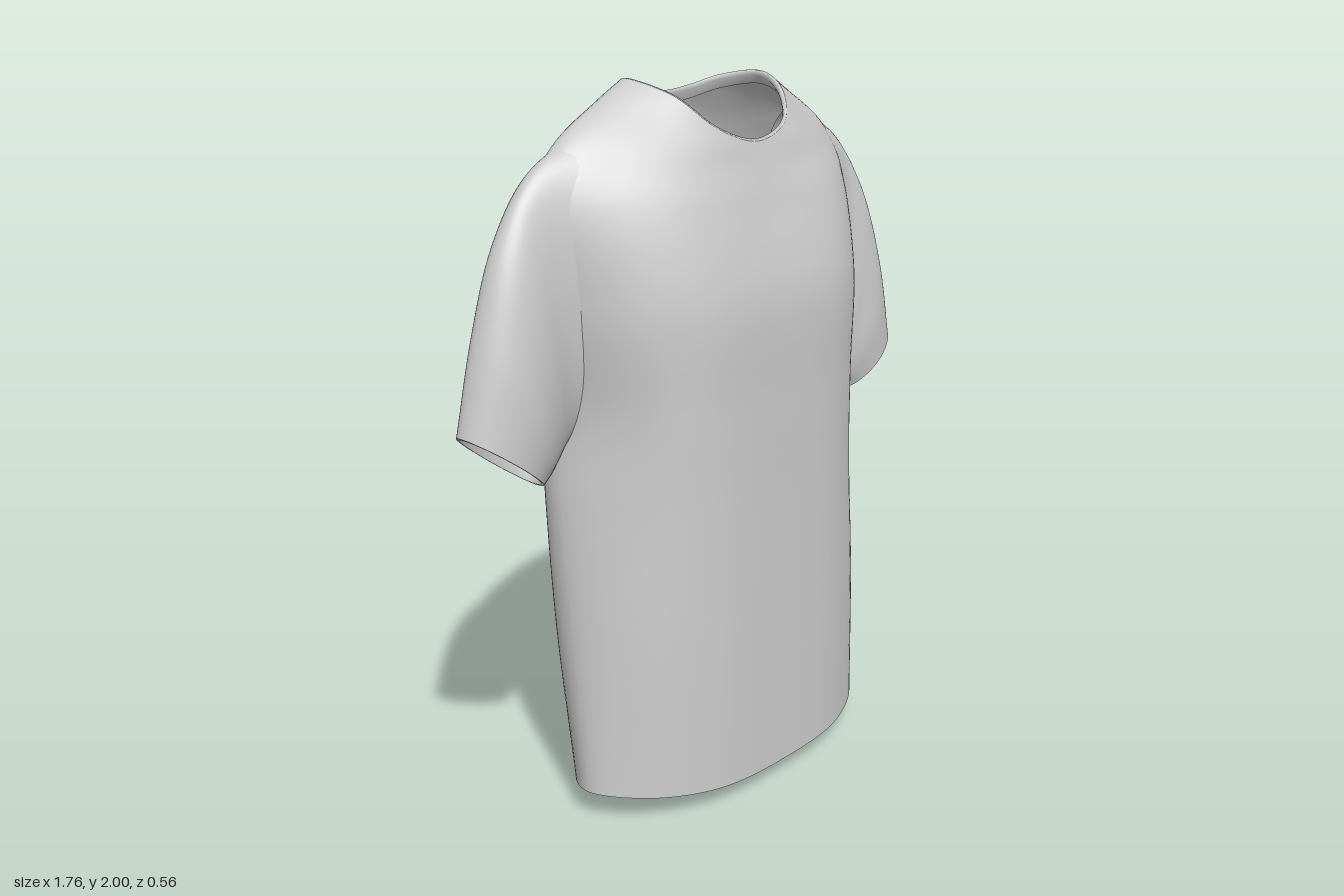
import * as THREE from 'three';

const material = new THREE.MeshStandardMaterial({ color: 0xcccccc, roughness: 0.9, side: THREE.DoubleSide });
const V = (x, y, z) => new THREE.Vector3(x, y, z);
const AROUND = 96;

// Skin closed rows of points into one smooth surface.
function loft(name, rows, flip = false) {
  const n = rows[0].length, index = [];
  for (let i = 0; i < rows.length - 1; i++) {
    for (let j = 0; j < n; j++) {
      const a = i * n + j, b = i * n + (j + 1) % n, c = a + n, d = b + n;
      if (flip) index.push(a, d, b, a, c, d);
      else index.push(a, b, d, a, d, c);
    }
  }
  const geometry = new THREE.BufferGeometry().setFromPoints(rows.flat());
  geometry.setIndex(index);
  geometry.computeVertexNormals();
  const mesh = new THREE.Mesh(geometry, material);
  mesh.name = name;
  return mesh;
}

// Smooth a few key rows into many along the length.
function refine(keys, steps) {
  const columns = keys[0].map((_, j) => new THREE.CatmullRomCurve3(keys.map(k => k[j])));
  return Array.from({ length: steps + 1 }, (_, i) => columns.map(c => c.getPoint(i / steps)));
}

// Closed body section, given front, side and back heights and half an outline.
function ring(yFront, ySide, yBack, zFront, side, zBack) {
  const half = [[0, zFront], ...side, [0, zBack]].map(([x, z], k) => {
    const w = (1 - Math.cos(Math.PI * k / 3)) / 2;
    return V(x, THREE.MathUtils.lerp(k <= 3 ? yFront : yBack, ySide, w), z);
  });
  const other = half.slice(1, -1).reverse().map(p => V(-p.x, p.y, p.z));
  const curve = new THREE.CatmullRomCurve3([...half, ...other], true);
  return Array.from({ length: AROUND }, (_, j) => curve.getPoint(j / AROUND));
}

// Sleeve section between an upper and a lower point, with front and back depth.
function sleeveRing([tx, ty], [bx, by], zFront, zBack, sign) {
  return Array.from({ length: 64 }, (_, j) => {
    const a = j / 64 * Math.PI * 2, c = Math.cos(a), s = Math.sin(a);
    const t = (1 - s) / 2, zMid = -0.055;
    const z = zMid + c * (c > 0 ? zFront - zMid : zMid - zBack);
    return V(sign * (bx + (tx - bx) * t), by + (ty - by) * t, z);
  });
}

// Turned-in edge following an opening.
function facing(name, row, steps, flip) {
  const centre = row.reduce((s, p) => s.add(p), V(0, 0, 0)).divideScalar(row.length);
  const rows = [row, ...steps.map(([scale, shift]) =>
    row.map(p => p.clone().sub(centre).multiplyScalar(scale).add(centre).add(shift)))];
  return loft(name, rows, flip);
}

export function createModel() {
  const shirt = new THREE.Group();
  shirt.name = 'shortSleevedShirt';

  // Body, from the hem to the neckline
  const body = refine([
    ring(0.05, 0.085, 0.0, 0.28, [[0.27, 0.262], [0.46, 0.175], [0.56, 0.03], [0.47, -0.11], [0.26, -0.19]], -0.2),
    ring(0.5, 0.5, 0.5, 0.279, [[0.27, 0.26], [0.455, 0.17], [0.555, -0.01], [0.51, -0.13], [0.27, -0.205]], -0.215),
    ring(0.9, 0.9, 0.9, 0.277, [[0.27, 0.255], [0.42, 0.175], [0.553, -0.05], [0.515, -0.155], [0.27, -0.225]], -0.237),
    ring(1.15, 1.15, 1.15, 0.277, [[0.27, 0.255], [0.41, 0.18], [0.54, -0.05], [0.515, -0.165], [0.27, -0.245]], -0.252),
    ring(1.45, 1.45, 1.45, 0.27, [[0.29, 0.247], [0.47, 0.135], [0.58, -0.05], [0.5, -0.185], [0.27, -0.274]], -0.27),
    ring(1.68, 1.72, 1.68, 0.205, [[0.28, 0.19], [0.48, 0.08], [0.61, -0.06], [0.5, -0.175], [0.25, -0.272]], -0.265),
    ring(1.77, 1.845, 1.83, 0.177, [[0.24, 0.155], [0.4, 0.065], [0.53, -0.06], [0.42, -0.15], [0.23, -0.233]], -0.236),
    ring(1.81, 1.95, 1.915, 0.165, [[0.18, 0.145], [0.28, 0.06], [0.36, -0.06], [0.28, -0.15], [0.15, -0.205]], -0.207),
    ring(1.835, 2.0, 1.95, 0.158, [[0.14, 0.138], [0.22, 0.06], [0.265, -0.06], [0.2, -0.15], [0.11, -0.185]], -0.188),
  ], 80);
  shirt.add(loft('body', body));

  // Collar band and hem, turned inwards
  shirt.add(facing('collar', body.at(-1), [[0.96, V(0, 0.002, 0)], [0.95, V(0, -0.012, 0)], [1.03, V(0, -0.04, 0)]]));
  shirt.add(facing('hem', body[0], [[0.985, V(0, 0, 0)], [0.98, V(0, 0.04, 0)]], true));

  // Sleeves, drooping from the shoulders to slanted cuffs
  for (const [label, sign] of [['left', 1], ['right', -1]]) {
    const sleeve = refine([
      sleeveRing([0.42, 1.89], [0.41, 1.18], 0.13, -0.19, sign),
      sleeveRing([0.615, 1.79], [0.52, 1.09], 0.03, -0.168, sign),
      sleeveRing([0.735, 1.635], [0.58, 1.025], 0.04, -0.14, sign),
      sleeveRing([0.815, 1.42], [0.61, 1.0], 0.05, -0.128, sign),
      sleeveRing([0.88, 1.165], [0.635, 0.985], 0.042, -0.122, sign),
    ], 40);
    shirt.add(loft(label + 'Sleeve', sleeve, sign < 0));
    shirt.add(facing(label + 'Cuff', sleeve.at(-1),
      [[0.93, V(0, 0, 0)], [0.93, V(-sign * 0.02, 0.035, 0)]], sign < 0));
  }

  return shirt;
}
